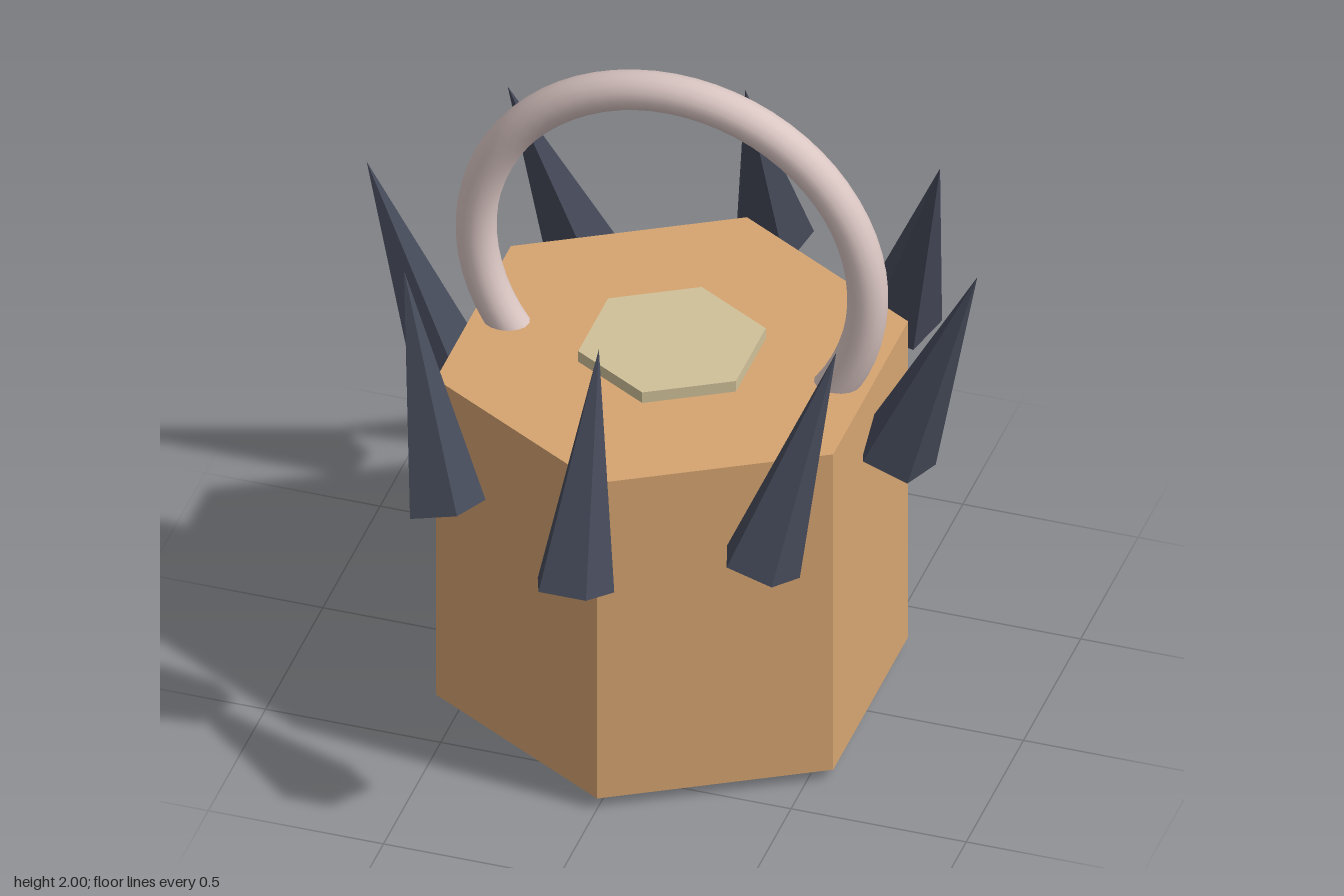
import * as THREE from 'three';

const flat = (name, color, flatShading = true) => {
  const m = new THREE.MeshStandardMaterial({ color, flatShading });
  m.name = name;
  return m;
};

export function createModel() {
  const model = new THREE.Group();
  model.name = 'spikedPadlock';
  const zc = 0.01; // the body sits slightly forward

  const wood = flat('tan', 0xd6a471);
  const plate = flat('paleBrass', 0xd0c09a);
  const rose = flat('roseMetal', 0xdac6c3, false);
  const dark = flat('darkSteel', 0x454a59);

  const add = (name, geometry, material, x, y, z) => {
    const mesh = new THREE.Mesh(geometry, material);
    mesh.name = name;
    mesh.position.set(x, y, z);
    model.add(mesh);
    return mesh;
  };

  // Hexagonal body with a corner facing front
  add('body', new THREE.CylinderGeometry(0.655, 0.655, 1.05, 6), wood, 0, 0.565, zc);

  // Hexagonal plates on the top and bottom
  const plateGeo = new THREE.CylinderGeometry(0.26, 0.26, 0.05, 6);
  add('topPlate', plateGeo, plate, 0, 1.1, zc);
  add('bottomPlate', plateGeo, plate, 0, 0.03, zc);

  // Ring handle, its ends sunk into the body
  const drop = 0.72;
  const handle = new THREE.TorusGeometry(0.559, 0.056, 16, 48, Math.PI + 2 * drop);
  handle.rotateZ(-drop);
  add('handle', handle, rose, 0, 1.385, zc);

  // Eight five-sided spikes around the body, each tilted about its middle
  const spikeGeo = new THREE.ConeGeometry(0.115, 0.68, 5);
  spikeGeo.rotateY(Math.PI);
  const tilt = 0.35;
  for (let i = 0; i < 8; i++) {
    const a = (i * Math.PI) / 4;
    const c = Math.cos(a), s = Math.sin(a);
    const spike = add('spike' + (i + 1), spikeGeo, dark, 0.755 * c, 1.206, 0.755 * s + zc);
    spike.rotation.set(-tilt * s, 0, -tilt * c);
  }
  return model;
}
